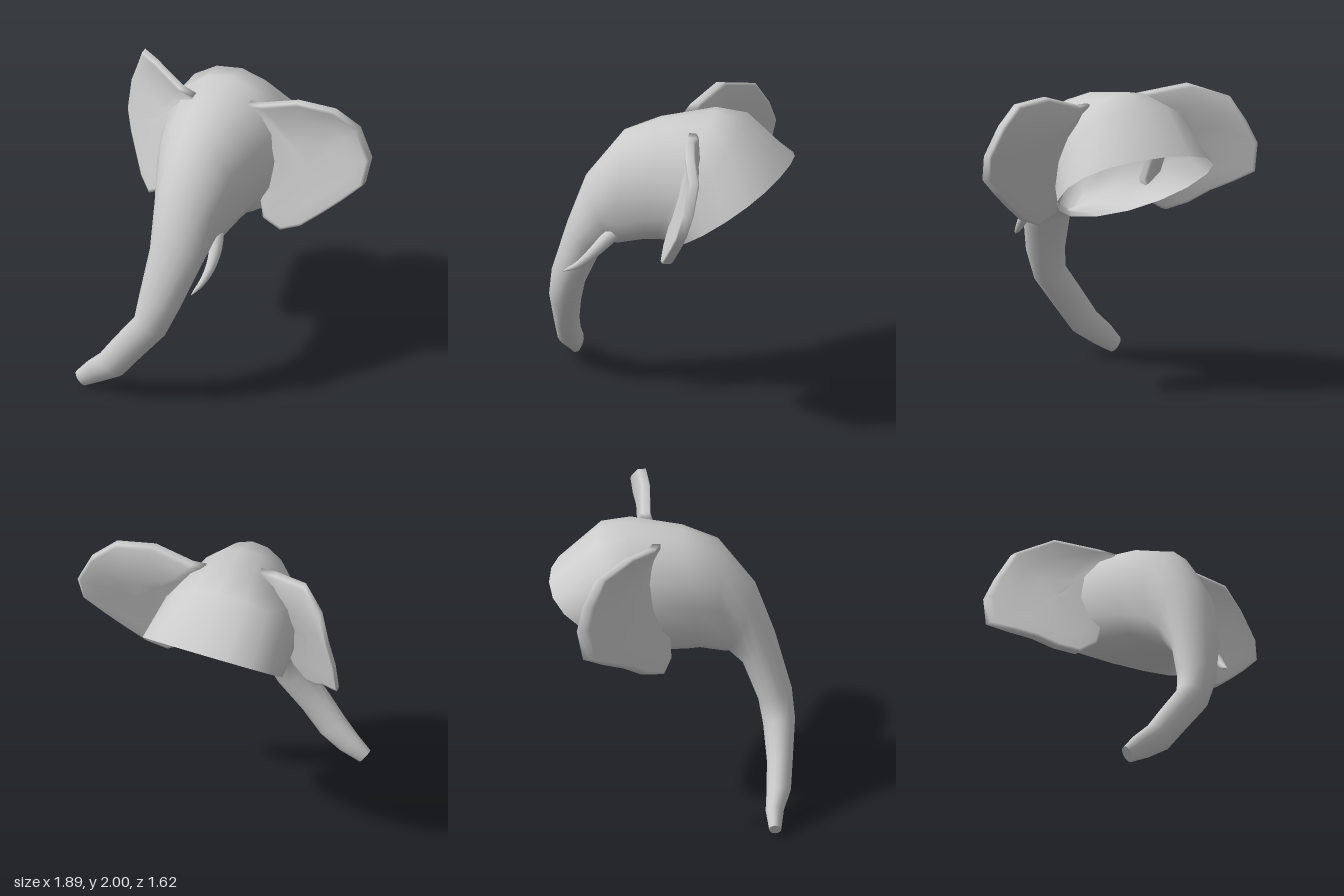
import * as THREE from 'three';

const grey = new THREE.MeshStandardMaterial({ color: 0xcccccc, side: THREE.DoubleSide });
const V = (x, y, z) => new THREE.Vector3(x, y, z);

// Skin a list of closed loops (equal point counts) with smooth normals
function loft(name, loops) {
  const n = loops[0].length, pos = [], index = [];
  loops.forEach(loop => loop.forEach(p => pos.push(p.x, p.y, p.z)));
  for (let i = 0; i < loops.length - 1; i++) {
    for (let j = 0; j < n; j++) {
      const k = (j + 1) % n;
      const a = i * n + j, b = i * n + k, c = b + n, d = a + n;
      index.push(a, b, c, a, c, d);
    }
  }
  const geo = new THREE.BufferGeometry();
  geo.setAttribute('position', new THREE.Float32BufferAttribute(pos, 3));
  geo.setIndex(index);
  geo.computeVertexNormals();
  const mesh = new THREE.Mesh(geo, grey);
  mesh.name = name;
  return mesh;
}

// Closed loop around c spanned by half-axes u and v.
// Powers below 1 square off the upper / lower half; lift raises the widest point.
function ring(c, u, v, { sides = 16, upper = 1, lower = 1, lift = 0 } = {}) {
  const bend = (t, p) => Math.sign(t) * Math.pow(Math.abs(t), p);
  return Array.from({ length: sides }, (_, j) => {
    const a = j / sides * Math.PI * 2, cos = Math.cos(a), sin = Math.sin(a);
    const p = sin >= 0 ? upper : lower;
    return c.clone().addScaledVector(u, bend(cos, p)).addScaledVector(v, bend(sin, p) + lift * cos * cos);
  });
}

// Head and trunk: centre xyz, side half-axis xyz, upper half-axis yz
const sections = [
  [-0.06, 1.38, -0.43, 0.50, 0, 0.10, 0.26, -0.365],
  [-0.11, 1.53, -0.24, 0.45, 0, 0.05, 0.41, -0.26],
  [-0.115, 1.55, -0.10, 0.41, 0, 0.03, 0.44, -0.20],
  [-0.10, 1.52, 0.12, 0.35, 0, 0, 0.41, -0.06],
  [-0.10, 1.46, 0.32, 0.275, 0, 0, 0.38, -0.02],
  [-0.11, 1.30, 0.455, 0.22, 0, 0, 0.22, 0.095],
  [-0.125, 1.09, 0.56, 0.185, 0, 0, 0.10, 0.11],
  [-0.20, 0.77, 0.67, 0.14, -0.02, 0, 0.04, 0.11],
  [-0.255, 0.595, 0.695, 0.105, -0.05, 0, 0.02, 0.105],
  [-0.42, 0.385, 0.695, 0.09, -0.06, 0, 0, 0.085],
  [-0.535, 0.23, 0.685, 0.08, -0.065, 0, 0, 0.08],
  [-0.655, 0.135, 0.655, 0.06, -0.06, 0, 0, 0.06],
  [-0.765, 0.05, 0.655, 0.035, -0.045, 0, 0, 0.04]
];
// Squareness and lift of the head sections, from the neck forward
const headShape = [
  { lower: 0.92, lift: 0.2 },
  { upper: 0.95, lower: 0.9, lift: 0.06 },
  { lower: 0.95 },
  { lower: 0.88 },
  { lower: 0.75 },
  { lower: 0.8 }
];

function headAndTrunk() {
  const loops = sections.map((s, i) =>
    ring(V(s[0], s[1], s[2]), V(s[3], s[4], s[5]), V(0, s[6], s[7]), headShape[i]));
  // close the trunk tip, leave the neck open
  const tip = sections[sections.length - 1];
  loops.push(loops[loops.length - 1].map(p => p.clone()));
  loops.push(loops[0].map(() => V(tip[0], tip[1], tip[2])));
  return loft('headAndTrunk', loops);
}

// Ear outline, clockwise from the upper root, for each side
const leftOutline = [[0.08, 1.91], [0.17, 1.915], [0.43, 2.0], [0.69, 1.985], [0.85, 1.865], [0.945, 1.67],
  [0.92, 1.5], [0.78, 1.37], [0.66, 1.27], [0.52, 1.16], [0.385, 1.11], [0.26, 1.17], [0.22, 1.32], [0.25, 1.55]];
const rightOutline = [[0.28, 1.91], [0.39, 1.925], [0.64, 1.98], [0.81, 1.91], [0.88, 1.75], [0.94, 1.6],
  [0.95, 1.4], [0.87, 1.32], [0.78, 1.25], [0.69, 1.16], [0.59, 1.11], [0.49, 1.18], [0.44, 1.32], [0.47, 1.55]];

function ear(name, side, outline, centre, sweep) {
  const pts = side > 0 ? [...outline].reverse() : outline;
  // the blade leans back toward its top, curls forward at the crest and sweeps back outward
  const bladeZ = (x, y) => {
    const t = (y - 1.11) / 0.89;
    return -0.25 * t + 0.45 * Math.max(t - 0.8, 0) - sweep(x);
  };
  const layer = (scale, half) => pts.map(([px, py]) => {
    const x = centre + (px - centre) * scale, y = 1.56 + (py - 1.56) * scale;
    return V(side * x, y, bladeZ(x, y) + half);
  });
  const layers = [[0, 0.03], [0.35, 0.03], [0.7, 0.032], [0.95, 0.035], [1, 0.026]];
  const back = layers.map(([s, h]) => layer(s, -h));
  const front = layers.map(([s, h]) => layer(s, h)).reverse();
  return loft(name, [...back, ...front]);
}

// Tusk: tapered sweep along a curve
function tusk() {
  const curve = new THREE.CatmullRomCurve3([V(0.075, 1.19, 0.36), V(0.097, 1.13, 0.42),
    V(0.1, 1.03, 0.515), V(0.075, 0.95, 0.6), V(0.035, 0.893, 0.69)]);
  const steps = 10, frames = curve.computeFrenetFrames(steps);
  const loops = [];
  for (let i = 0; i <= steps; i++) {
    const t = i / steps, r = 0.05 * Math.pow(1 - t, 0.65) + 0.002;
    loops.push(ring(curve.getPointAt(t), frames.normals[i].clone().multiplyScalar(r),
      frames.binormals[i].clone().multiplyScalar(r), { sides: 10 }));
  }
  return loft('leftTusk', loops);
}

export function createModel() {
  const group = new THREE.Group();
  group.name = 'elephantHead';
  group.add(
    headAndTrunk(),
    ear('leftEar', 1, leftOutline, 0.55, x => 0.05 * x - 0.02),
    ear('rightEar', -1, rightOutline, 0.65, x => {
      const d = x - 0.39;
      return 0.45 * d + 0.9 * d * d - 0.03;
    }),
    tusk()
  );
  return group;
}
